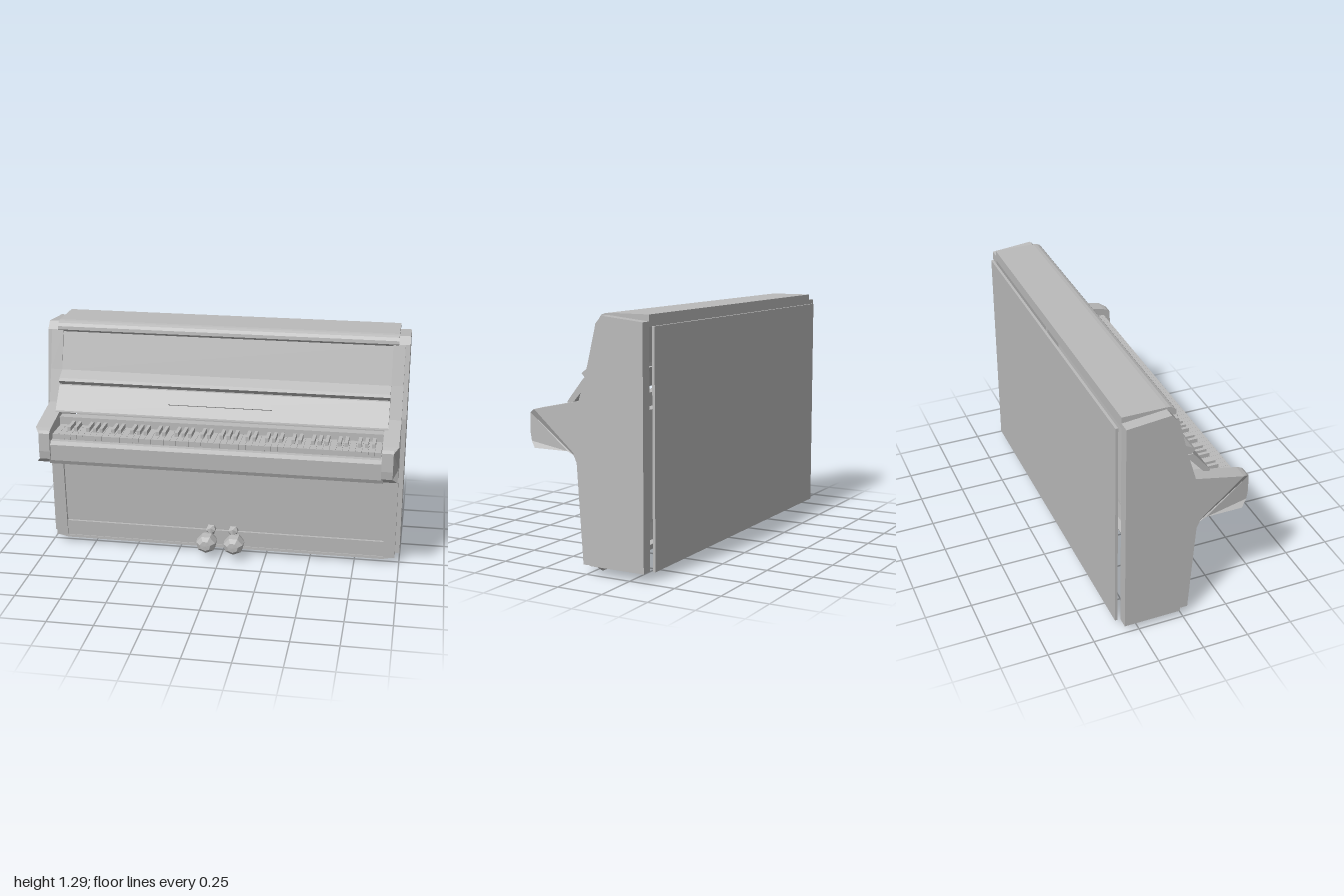
import * as THREE from 'three';

const grey = new THREE.MeshStandardMaterial({ color: 0xbbbbbb });
grey.name = 'plain grey';

// Extrudes a [z, y] profile along x between x0 and x1
function slab(profile, x0, x1) {
  const shape = new THREE.Shape(profile.map(([z, y]) => new THREE.Vector2(z, y)));
  const g = new THREE.ExtrudeGeometry(shape, { depth: x1 - x0, bevelEnabled: false });
  return g.rotateY(-Math.PI / 2).translate(x1, 0, 0);
}

// Moves every vertex by a rule, then refreshes the flat normals
function reshape(geometry, rule) {
  const p = geometry.attributes.position;
  const v = new THREE.Vector3();
  for (let i = 0; i < p.count; i++) {
    rule(v.fromBufferAttribute(p, i));
    p.setXYZ(i, v.x, v.y, v.z);
  }
  geometry.computeVertexNormals();
  return geometry;
}

function box(x0, x1, y0, y1, z0, z1) {
  return new THREE.BoxGeometry(x1 - x0, y1 - y0, z1 - z0)
    .translate((x0 + x1) / 2, (y0 + y1) / 2, (z0 + z1) / 2);
}

export function createModel() {
  const model = new THREE.Group();
  model.name = 'uprightPiano';
  const add = (name, geometry, parent = model) => {
    const mesh = new THREE.Mesh(geometry, grey);
    mesh.name = name;
    parent.add(mesh);
    return mesh;
  };

  // Case: lid and back board, with the inside left hollow
  add('lid', slab([
    [-0.33, 1.235], [-0.062, 1.235], [-0.048, 1.25], [-0.05, 1.268],
    [-0.062, 1.284], [-0.08, 1.292], [-0.1, 1.295], [-0.33, 1.295],
  ], -0.94, 0.94));
  add('backBoard', box(-0.94, 0.94, 0.045, 1.24, -0.36, -0.346));

  // Sides, posts and arms, once per side
  for (const s of [-1, 1]) {
    const side = new THREE.Group();
    side.name = s > 0 ? 'leftSide' : 'rightSide';
    model.add(side);
    const pair = (name, profile, a, b, rule) => {
      const g = slab(profile, Math.min(s * a, s * b), Math.max(s * a, s * b));
      add(name, rule ? reshape(g, rule) : g, side);
    };
    pair('sidePanel', [
      [-0.33, 0.045], [-0.02, 0.045], [0.003, 0.85], [-0.066, 1.245],
      [-0.1, 1.285], [-0.33, 1.262],
    ], 0.94, 1.0);
    pair('frontPost', [
      [-0.04, 0.04], [0.035, 0.04], [0.068, 0.55], [0.085, 0.59], [0.09, 0.84],
      [0.055, 0.85], [0.0, 1.035], [-0.052, 1.245], [-0.1, 1.245], [-0.04, 0.85],
    ], 0.91, 0.975);
    pair('arm', [
      [0.03, 0.55], [0.07, 0.56], [0.088, 0.59], [0.12, 0.605], [0.32, 0.605],
      [0.355, 0.635], [0.362, 0.68], [0.36, 0.78], [0.345, 0.793], [0.32, 0.802],
      [0.05, 0.86], [0.03, 0.86],
    ], 0.89, 0.975, (v) => {
      if (v.z > 0.33 && Math.abs(v.x) > 0.95) v.x = s * 0.95;
    });
  }

  // Front panels
  add('upperPanel', slab([[-0.09, 1.24], [-0.06, 1.24], [0.0, 1.03], [-0.02, 1.0]].reverse(), -0.91, 0.91));
  add('upperLedge', slab([
    [-0.02, 0.98], [0.056, 0.968], [0.076, 0.99], [0.06, 1.003], [0.003, 1.035], [-0.02, 1.035],
  ], -0.91, 0.91));
  add('fallboard', slab([
    [0.04, 0.965], [0.02, 0.965], [0.13, 0.838], [0.162, 0.838], [0.16, 0.847], [0.066, 0.965],
  ], -0.91, 0.91));
  add('lowerPanel', slab([[0.0, 0.145], [0.026, 0.145], [0.054, 0.62], [0.03, 0.62]], -0.91, 0.91));
  add('grooveStrip', slab([[0.0, 0.12], [0.017, 0.12], [0.019, 0.15], [0.0, 0.15]], -0.91, 0.91));
  add('lowerRail', slab([[-0.01, 0.04], [0.028, 0.04], [0.033, 0.132], [0.0, 0.132]], -0.91, 0.91));

  // Base board, tapering in towards the floor
  add('baseBoard', reshape(
    slab([[-0.05, 0.035], [-0.035, 0.0], [0.035, 0.028], [0.035, 0.043]], -0.975, 0.975),
    (v) => { if (v.y < 0.03) v.x *= 0.93; }
  ));

  // Small plate on the fallboard
  const plateShape = new THREE.Shape([
    [-0.285, -0.036], [0.285, -0.036], [0.262, 0.036], [-0.262, 0.036],
  ].map(([x, y]) => new THREE.Vector2(x, y)));
  const plate = add('musicPlate', new THREE.ExtrudeGeometry(plateShape, { depth: 0.009, bevelEnabled: false }));
  plate.position.set(0, 0.926, 0.097);
  plate.rotation.x = -0.67;

  // Key bed and keyboard
  add('keyBed', slab([
    [0.03, 0.603], [0.335, 0.603], [0.345, 0.625], [0.35, 0.715], [0.34, 0.735], [0.03, 0.735],
  ], -0.9, 0.9));
  add('keyRest', box(-0.9, 0.9, 0.73, 0.81, 0.1, 0.155));
  const keys = new THREE.Group();
  keys.name = 'keyboard';
  model.add(keys);
  const pitch = 1.77 / 52;
  for (let i = 0; i < 52; i++) {
    const x = -0.885 + i * pitch;
    add('whiteKey', box(x + 0.0005, x + pitch - 0.0005, 0.738, 0.767, 0.14, 0.318), keys);
  }
  for (let octave = 0; octave < 7; octave++) {
    for (const offset of [-0.142, -0.106, -0.037, 0, 0.037]) {
      const x = -0.666 + octave * 0.245 + offset;
      add('blackKey', box(x - 0.009, x + 0.009, 0.76, 0.79, 0.14, 0.258), keys);
    }
  }

  // Pedals: faceted bulbs with a small knob above
  for (const s of [-1, 1]) {
    const pedal = new THREE.Group();
    pedal.name = s > 0 ? 'leftPedal' : 'rightPedal';
    pedal.position.x = s * 0.078;
    model.add(pedal);
    const bulb = new THREE.LatheGeometry([
      [0, -0.03], [0.025, 0.01], [0.042, 0.045], [0.056, 0.09], [0.053, 0.14], [0.03, 0.163], [0, 0.165],
    ].map(([r, y]) => new THREE.Vector2(r, y)), 7).rotateX(Math.PI / 2).scale(1.05, 0.95, 1).toNonIndexed();
    bulb.computeVertexNormals();
    add('pedalBulb', bulb, pedal).position.y = 0.088;
    const knob = new THREE.IcosahedronGeometry(0.032, 0);
    add('pedalKnob', knob, pedal).position.set(-s * 0.014, 0.14, 0.04);
  }

  return model;
}
